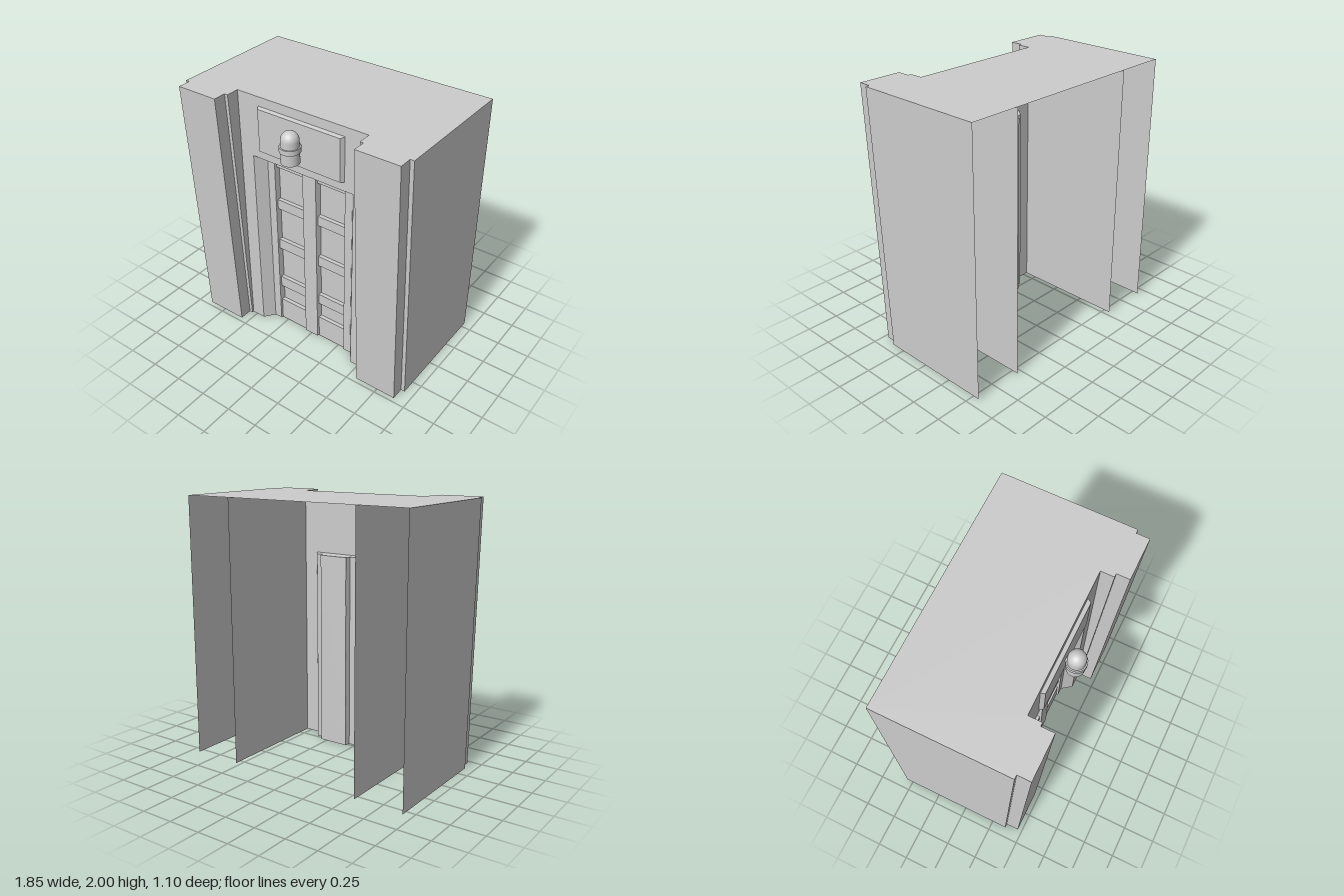
import * as THREE from 'three';

// Open-backed doorway block: battered side piers, recessed double door, sign and lamp.
export function createModel() {
  const model = new THREE.Group();
  const stone = new THREE.MeshStandardMaterial({ color: 0xcccccc, side: THREE.DoubleSide });
  stone.name = 'pale grey stone';

  const add = (geometry, name, parent = model) => {
    const mesh = new THREE.Mesh(geometry, stone);
    mesh.name = name;
    parent.add(mesh);
    return mesh;
  };

  // Upright wall along a plan line of [x, zBottom, zTop], running left to right
  function wall(points, y0, y1) {
    const pos = [];
    for (let i = 0; i < points.length - 1; i++) {
      const [p, q] = [points[i], points[i + 1]];
      const a = [p[0], y0, p[1]], b = [q[0], y0, q[1]];
      const c = [q[0], y1, q[2] ?? q[1]], d = [p[0], y1, p[2] ?? p[1]];
      pos.push(...a, ...b, ...c, ...a, ...c, ...d);
    }
    const g = new THREE.BufferGeometry();
    g.setAttribute('position', new THREE.Float32BufferAttribute(pos, 3));
    g.computeVertexNormals();
    return g;
  }
  const mirror = (points) => points.map(([x, ...z]) => [-x, ...z]).reverse();

  // Horizontal plate from a plan outline of [x, z]
  function plate(outline, y) {
    const shape = new THREE.Shape(outline.map(([x, z]) => new THREE.Vector2(x, -z)));
    return new THREE.ShapeGeometry(shape).rotateX(-Math.PI / 2).translate(0, y, 0);
  }

  // Piers, leaning outward toward the top, hollow and open behind
  const pier = [
    [0.54, -0.55, -0.55], [0.54, 0.365, 0.45], [0.567, 0.365, 0.45], [0.567, 0.465, 0.548],
    [0.897, 0.465, 0.548], [0.897, 0.365, 0.45], [0.927, 0.365, 0.45], [0.927, -0.55, -0.55],
  ];
  add(wall(pier, 0, 2), 'leftPier');
  add(wall(mirror(pier), 0, 2), 'rightPier');

  // Roof follows the pier tops and the alcove between them
  const half = [[0.54, 0.35], ...pier.slice(1).map(([x, , z]) => [x, z])];
  add(plate([...mirror(half), ...half], 2), 'roof');

  // Front wall with the doorway cut out
  const front = new THREE.Shape([
    [-0.54, 0], [-0.43, 0], [-0.43, 1.52], [0.43, 1.52], [0.43, 0], [0.54, 0], [0.54, 2], [-0.54, 2],
  ].map(([x, y]) => new THREE.Vector2(x, y)));
  add(new THREE.ShapeGeometry(front).translate(0, 0, 0.35), 'frontWall');

  // Splayed jambs, posts and sunken door panels
  const door = new THREE.Group();
  door.name = 'door';
  model.add(door);
  const rightHalf = [
    [0.058, 0.27], [0.066, 0.225], [0.302, 0.225], [0.308, 0.27], [0.37, 0.27], [0.43, 0.35],
  ];
  const doorLine = [...mirror(rightHalf), ...rightHalf];
  add(wall(doorLine, 0, 1.52), 'doorPanels', door);
  add(plate(doorLine, 1.52), 'doorSoffit', door);

  // Cross rails on both leaves
  const rails = [[0, 0.19], [0.33, 0.42], [0.70, 0.785], [1.065, 1.145], [1.425, 1.52]];
  for (const side of [-1, 1]) {
    for (const [y0, y1] of rails) {
      const rail = add(new THREE.BoxGeometry(0.24, y1 - y0, 0.03), 'doorRail', door);
      rail.position.set(side * 0.184, (y0 + y1) / 2, 0.24);
    }
  }

  // Sign board with bevelled edges
  const sign = new THREE.BoxGeometry(0.72, 0.34, 0.03);
  const p = sign.attributes.position;
  for (let i = 0; i < p.count; i++) {
    if (p.getZ(i) > 0) p.setXY(i, Math.sign(p.getX(i)) * 0.343, Math.sign(p.getY(i)) * 0.163);
  }
  sign.computeVertexNormals();
  add(sign, 'signBoard').position.set(0, 1.76, 0.365);

  // Lamp: base, collar and rounded glass
  const lamp = new THREE.Group();
  lamp.name = 'lamp';
  lamp.position.set(-0.01, 0, 0.45);
  model.add(lamp);
  add(new THREE.CylinderGeometry(0.066, 0.066, 0.1, 24), 'lampBase', lamp).position.y = 1.71;
  add(new THREE.CylinderGeometry(0.075, 0.075, 0.037, 24), 'lampCollar', lamp).position.y = 1.766;
  const glass = [new THREE.Vector2(0.065, 1.78)];
  for (let i = 0; i <= 8; i++) {
    const a = (i / 8) * Math.PI / 2;
    glass.push(new THREE.Vector2(0.065 * Math.cos(a), 1.83 + 0.065 * Math.sin(a)));
  }
  add(new THREE.LatheGeometry(glass, 24), 'lampGlass', lamp);

  return model;
}
